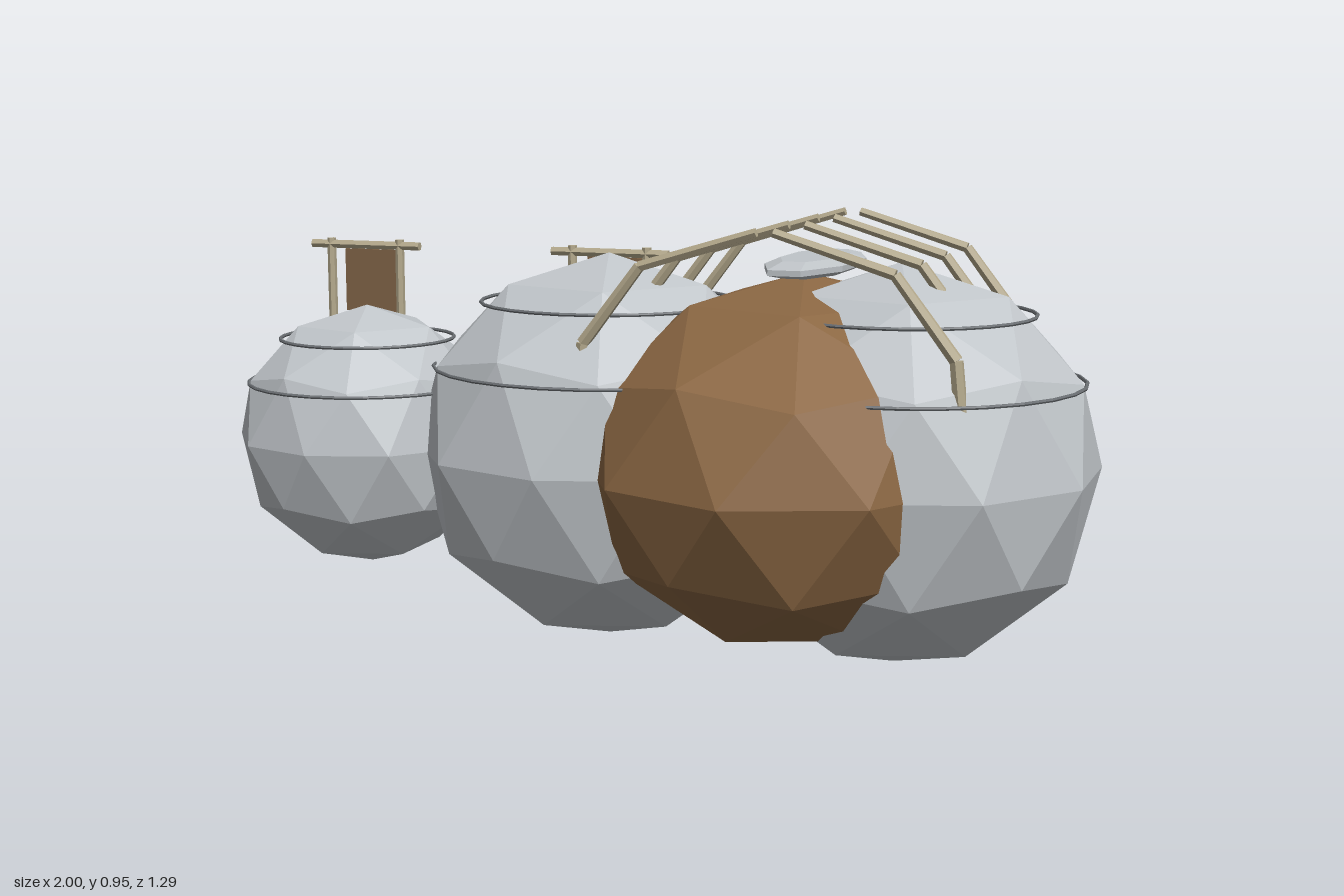
import * as THREE from 'three';

function mat(name, color) {
  const m = new THREE.MeshStandardMaterial({ color, flatShading: true });
  m.name = name;
  return m;
}

export function createModel() {
  const root = new THREE.Group();
  root.name = 'domedOutpost';

  const grey = mat('paleGrey', 0xc0c5c9);
  const brown = mat('earthBrown', 0x8b6743);
  const cloth = mat('clothBrown', 0x806447);
  const wood = mat('weatheredPole', 0xb5aa8d);
  const band = mat('darkBand', 0x6c7074);
  const black = mat('black', 0x1c1c1d);

  const add = (parent, name, geo, material, x = 0, y = 0, z = 0) => {
    const m = new THREE.Mesh(geo, material);
    m.name = name;
    m.position.set(x, y, z);
    parent.add(m);
    return m;
  };
  const group = (name) => {
    const g = new THREE.Group();
    g.name = name;
    root.add(g);
    return g;
  };

  // Faceted ball with a corner pointing straight up
  const ball = new THREE.IcosahedronGeometry(1, 1);
  ball.rotateZ(Math.PI / 2 - Math.atan((1 + Math.sqrt(5)) / 2));
  ball.rotateY(Math.PI);

  // Round bar between two points, with a radius at each end
  const bar = (parent, name, a, b, ra = 0.01, rb = ra) => {
    const from = new THREE.Vector3(...a), to = new THREE.Vector3(...b);
    const dir = to.clone().sub(from);
    const m = add(parent, name, new THREE.CylinderGeometry(rb, ra, dir.length(), 6), wood);
    m.position.copy(from).add(to).multiplyScalar(0.5);
    m.quaternion.setFromUnitVectors(new THREE.Vector3(0, 1, 0), dir.normalize());
  };

  // Three grey domes, each with two thin bands
  const domes = [
    ['leftDome', 0.59, 0.43, 0.06, 0.43, [0.184, 0.324]],
    ['middleDome', -0.065, 0.43, 0.06, 0.43, [0.184, 0.324]],
    ['smallDome', -0.628, 0.433, 0.133, 0.297, [0.125, 0.223]],
  ];
  for (const [name, x, y, z, r, heights] of domes) {
    const g = group(name);
    add(g, 'shell', ball, grey, x, y, z).scale.setScalar(r);
    for (const h of heights) {
      const ring = new THREE.TorusGeometry(Math.sqrt(r * r - h * h), 0.004, 6, 28);
      ring.rotateX(Math.PI / 2);
      add(g, 'band', ring, band, x, y + h, z);
    }
  }

  // Long brown hall between the two large domes
  add(root, 'centralHall', ball, brown, 0.382, 0.432, 0.062).scale.set(0.46, 0.4, 0.583);

  // Flat eight-sided roof cap
  const profile = [[0, -0.018], [0.7, -0.018], [1, -0.006], [1, 0.006], [0.7, 0.018], [0, 0.018]]
    .map(([x, y]) => new THREE.Vector2(x, y));
  const cap = new THREE.LatheGeometry(profile, 8);
  cap.rotateY(Math.PI / 8);
  add(root, 'roofCap', cap, grey, 0.385, 0.844, -0.015).scale.set(0.092, 1, 0.262);

  // Tapered entrance tunnels at the back with dark door slabs
  for (const x of [-0.065, 0.59]) {
    const g = group('rearTunnel');
    const tube = new THREE.CylinderGeometry(0.141, 0.127, 0.3, 8);
    tube.rotateY(Math.PI / 8);
    tube.rotateX(Math.PI / 2);
    add(g, 'tunnel', tube, grey, x, 0.538, -0.428);
    add(g, 'door', new THREE.BoxGeometry(0.115, 0.175, 0.02), black, x, 0.516, -0.633);
  }
  add(root, 'hallDoor', new THREE.BoxGeometry(0.15, 0.265, 0.02), black, 0.382, 0.56, -0.502);

  // Four pairs of bent ribs over the hall, thinner towards the top
  const rib = [[0.018, 0.937, 0.01], [0.265, 0.862, 0.012], [0.389, 0.7, 0.014], [0.418, 0.43, 0.015]];
  for (const z of [0.36, 0.135, -0.09, -0.315]) {
    for (const side of [-1, 1]) {
      const g = group(side > 0 ? 'leftRib' : 'rightRib');
      const p = rib.map(([x, y]) => [0.385 + side * x, y, z]);
      for (let i = 0; i < 3; i++) bar(g, 'ribBar', p[i], p[i + 1], rib[i][2], rib[i + 1][2]);
    }
  }

  // Hanging cloth racks behind the domes
  for (const x of [-0.853, -0.2]) {
    const g = group('clothRack');
    for (const s of [-1, 1]) bar(g, 'post', [x + s * 0.095, 0.43, -0.28], [x + s * 0.095, 0.842, -0.28], 0.011);
    bar(g, 'crossbar', [x - 0.148, 0.827, -0.28], [x + 0.15, 0.827, -0.28], 0.011);
    add(g, 'cloth', new THREE.BoxGeometry(0.155, 0.155, 0.006), cloth, x + 0.022, 0.739, -0.28);
  }

  return root;
}
